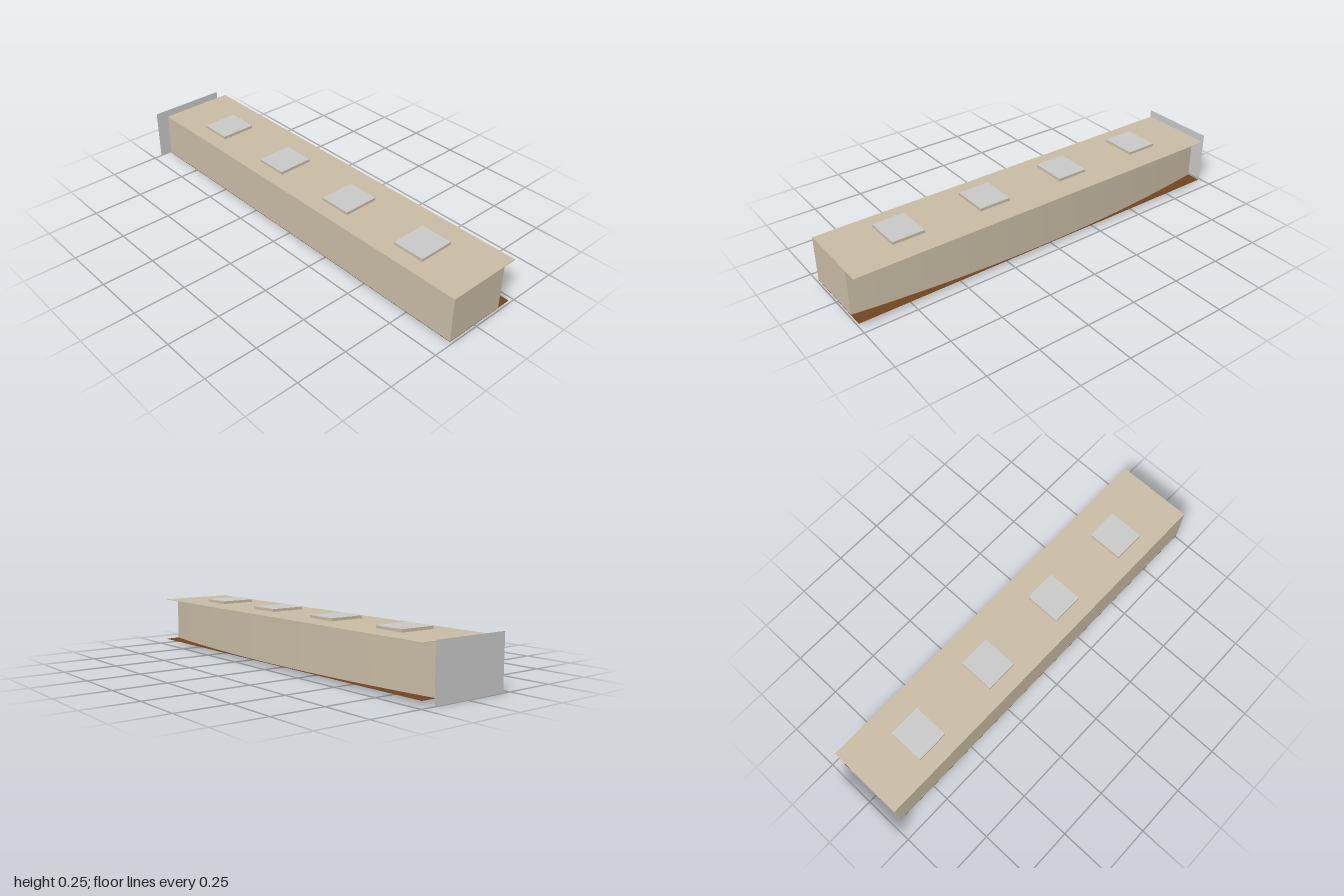
import * as THREE from 'three';
import { toCreasedNormals } from 'three/addons/utils/BufferGeometryUtils.js';

export function createModel() {
  const model = new THREE.Group();
  const mat = (name, color, side = THREE.FrontSide) => {
    const m = new THREE.MeshStandardMaterial({ color, side });
    m.name = name;
    return m;
  };
  const tan = mat('tan plaster', 0xc8bba4);
  const grey = mat('light grey', 0xc8c8c8);
  const greySheet = mat('light grey sheet', 0xc8c8c8, THREE.DoubleSide);
  const brown = mat('brown floor', 0x70451d);

  const x0 = -0.96, x1 = 1, front = 0.167, back = -0.207;
  const floorY = 0.019, roofY = 0.239, skin = 0.002;
  const midX = (x0 + x1) / 2, half = (x1 - x0) / 2;

  const add = (name, geometry, material, x = 0, y = 0, z = 0) => {
    const mesh = new THREE.Mesh(geometry, material);
    mesh.name = name;
    mesh.position.set(x, y, z);
    model.add(mesh);
    return mesh;
  };

  // Walls: straight front and ends, back bowed outwards
  const plan = new THREE.Shape();
  plan.moveTo(x0, front);
  const cornerZ = -0.138, bulge = 0.067, steps = 40;
  for (let i = 0; i <= steps; i++) {
    const t = (i / steps) * 2 - 1;
    plan.lineTo(midX + t * half, cornerZ - bulge * (1 - t * t));
  }
  plan.lineTo(x1, front);
  plan.closePath();
  const walls = new THREE.ExtrudeGeometry(plan, {
    depth: roofY - floorY - 2 * skin, bevelEnabled: false,
  });
  walls.rotateX(Math.PI / 2);
  add('walls', toCreasedNormals(walls, 0.5), tan, 0, roofY - skin, 0);

  // Rectangular roof and floor sheets overhanging the bowed back
  const sheet = new THREE.BoxGeometry(x1 - x0, skin, front - back);
  const midZ = (front + back) / 2;
  add('roof', sheet, tan, midX, roofY - skin / 2, midZ);
  add('floor', sheet, brown, midX, floorY + skin / 2, midZ);

  // Skylights: tan curbs with grey tops
  const curb = new THREE.BoxGeometry(0.157, 0.0135, 0.175);
  [-0.649, -0.205, 0.239, 0.681].forEach((x, i) => {
    add('skylight' + (i + 1), curb, [tan, tan, grey, tan, tan, tan], x, roofY + 0.00675, 0);
  });

  // Free-standing end panel
  const panel = new THREE.PlaneGeometry(0.388, 0.251).rotateY(-Math.PI / 2);
  add('endPanel', panel, greySheet, -1, 0.1255, 0.015);

  return model;
}
